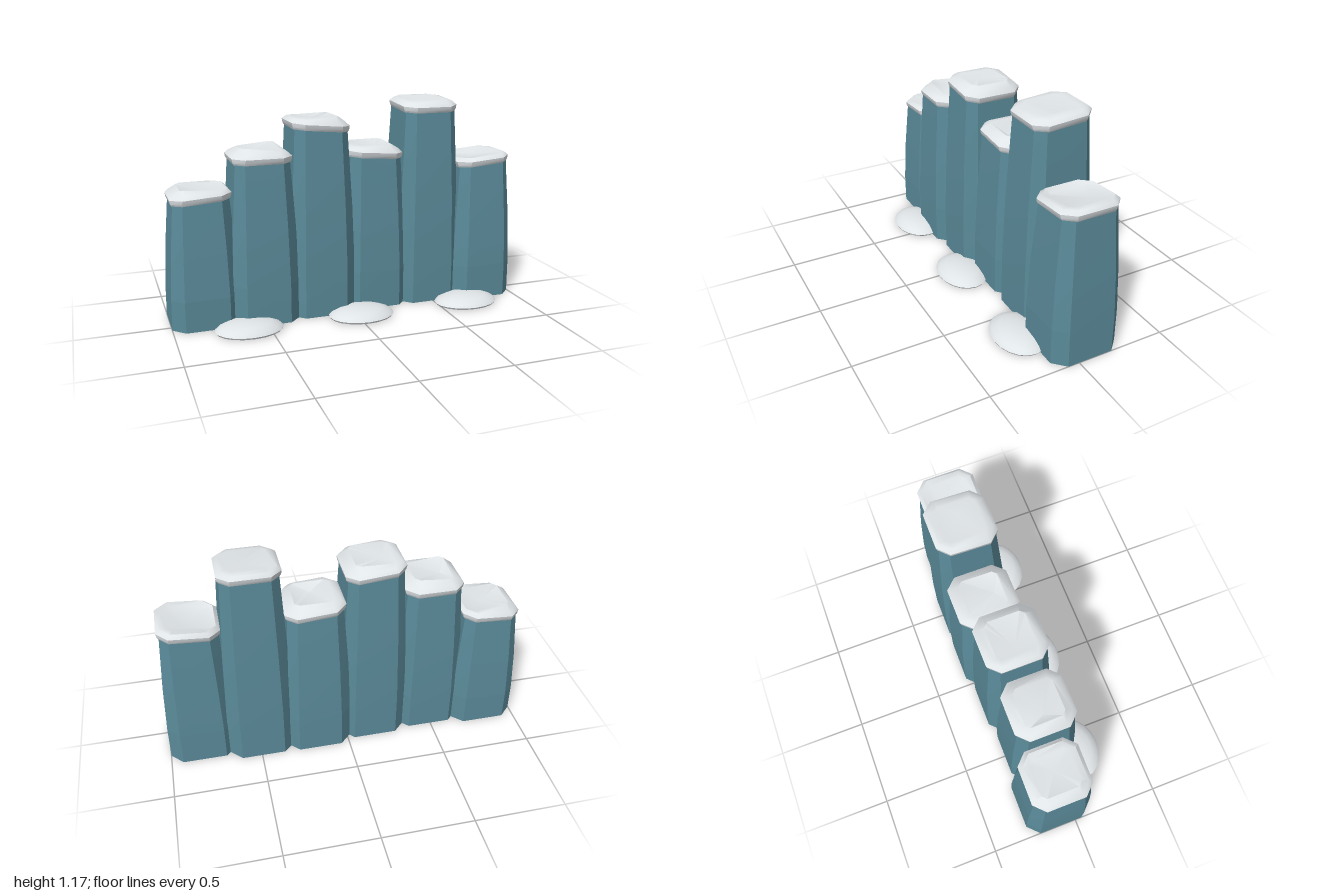
import * as THREE from 'three';
import { toCreasedNormals } from 'three/addons/utils/BufferGeometryUtils.js';

const rock = new THREE.MeshStandardMaterial({ color: 0x5a8a99 });
rock.name = 'blueRock';
const snow = new THREE.MeshStandardMaterial({ color: 0xe6ebee });
snow.name = 'snow';

// Square with cut corners, counter-clockwise from above; height(x, z, corner) gives y
function ring(w, d, c, height) {
  return [
    [w, d - c, 3], [w, c - d, 0], [w - c, -d, 0], [c - w, -d, 1],
    [-w, c - d, 1], [-w, d - c, 2], [c - w, d, 2], [w - c, d, 3],
  ].map(([x, z, k]) => new THREE.Vector3(x, height(x, z, k), z));
}

// Skin stacked rings and close both ends around centre points
function loft(rings, bottom, top, crease) {
  const pos = [];
  const tri = (...pts) => pts.forEach((p) => pos.push(p.x, p.y, p.z));
  const n = rings[0].length;
  for (let i = 0; i < n; i++) {
    const j = (i + 1) % n;
    for (let r = 0; r < rings.length - 1; r++) {
      const lo = rings[r], hi = rings[r + 1];
      tri(lo[i], lo[j], hi[j]);
      tri(lo[i], hi[j], hi[i]);
    }
    const last = rings[rings.length - 1];
    tri(rings[0][j], rings[0][i], bottom);
    tri(last[i], last[j], top);
  }
  const geo = new THREE.BufferGeometry();
  geo.setAttribute('position', new THREE.Float32BufferAttribute(pos, 3));
  return toCreasedNormals(geo, crease);
}

function mesh(name, geo, mat) {
  const m = new THREE.Mesh(geo, mat);
  m.name = name;
  return m;
}

// x, z: centre; h: rock height; sx, sz: slope of the top;
// bumps: cap corner heights (right-back, left-back, left-front, right-front); dip: hollow in the cap
const COLUMNS = [
  { x: -0.815, z: -0.09, h: 0.685, sx: 0.07, sz: 0, bumps: [0.045, 0.07, 0.07, 0.05], dip: [0.02, 0.035, 0] },
  { x: -0.49, z: -0.058, h: 0.875, sx: 0, sz: 0, bumps: [0.08, 0.065, 0.08, 0.06], dip: [-0.06, 0.04, 0] },
  { x: -0.16, z: -0.08, h: 1.03, sx: -0.09, sz: 0, bumps: [0.075, 0.055, 0.06, 0.075], dip: [-0.06, 0.035, 0] },
  { x: 0.165, z: -0.11, h: 0.86, sx: -0.08, sz: 0, bumps: [0.075, 0.06, 0.06, 0.07], dip: [0, 0.03, 0.06] },
  { x: 0.49, z: -0.105, h: 1.11, sx: 0, sz: -0.07, bumps: [0.055, 0.05, 0.06, 0.06], dip: [0.05, 0.03, 0] },
  { x: 0.815, z: -0.065, h: 0.79, sx: 0.08, sz: 0, bumps: [0.05, 0.035, 0.035, 0.05], dip: [0.02, 0.025, -0.06] },
];

// Tapering profile: fraction of height, half width, half depth, cut corner
const TAPER = [
  [0, 0.185, 0.193, 0.065], [0.25, 0.183, 0.193, 0.063],
  [0.6, 0.171, 0.181, 0.058], [1, 0.148, 0.155, 0.046],
];

function createColumn(p, index) {
  const group = new THREE.Group();
  group.name = `column${index + 1}`;
  const slope = (x, z) => p.h + p.sx * x + p.sz * z;

  const body = TAPER.map(([t, w, d, c]) => ring(w, d, c, (x, z) => t * slope(x, z) + (t === 1 ? 0.01 : 0)));
  group.add(mesh('rockColumn', loft(body,
    new THREE.Vector3(0, 0, 0), new THREE.Vector3(0, p.h + 0.01, 0), 0.04), rock));

  // Rounded snow cap with an uneven, hollowed top
  const lift = (dy) => (x, z) => slope(x, z) + dy;
  const cap = [
    ring(0.147, 0.152, 0.045, lift(-0.008)),
    ring(0.158, 0.162, 0.055, lift(0.008)),
    ring(0.162, 0.167, 0.06, lift(0.03)),
    ring(0.142, 0.147, 0.055, lift(0.05)),
    ring(0.105, 0.108, 0.022, (x, z, k) => slope(x, z) + p.bumps[k]),
  ];
  const [dx, dy, dz] = p.dip;
  group.add(mesh('snowCap', loft(cap,
    new THREE.Vector3(0, p.h - 0.008, 0),
    new THREE.Vector3(dx, slope(dx, dz) + dy, dz), 0.75), snow));

  group.position.set(p.x, 0, p.z);
  return group;
}

// Low rounded drift with a flat underside
function createDrift(x) {
  const profile = [[0, 0], [0.96, 0], [1, 0.18], [0.9, 0.5], [0.66, 0.8], [0.35, 0.95], [0, 1]];
  const geo = new THREE.LatheGeometry(profile.map(([r, y]) => new THREE.Vector2(r, y)), 20);
  geo.scale(0.185, 0.055, 0.138);
  const drift = mesh('snowDrift', toCreasedNormals(geo, 0.9), snow);
  drift.position.set(x, 0, 0.16);
  return drift;
}

export function createModel() {
  const model = new THREE.Group();
  model.name = 'snowyRockWall';
  COLUMNS.forEach((p, i) => model.add(createColumn(p, i)));
  [-0.61, 0.025, 0.67].forEach((x) => model.add(createDrift(x)));
  return model;
}
